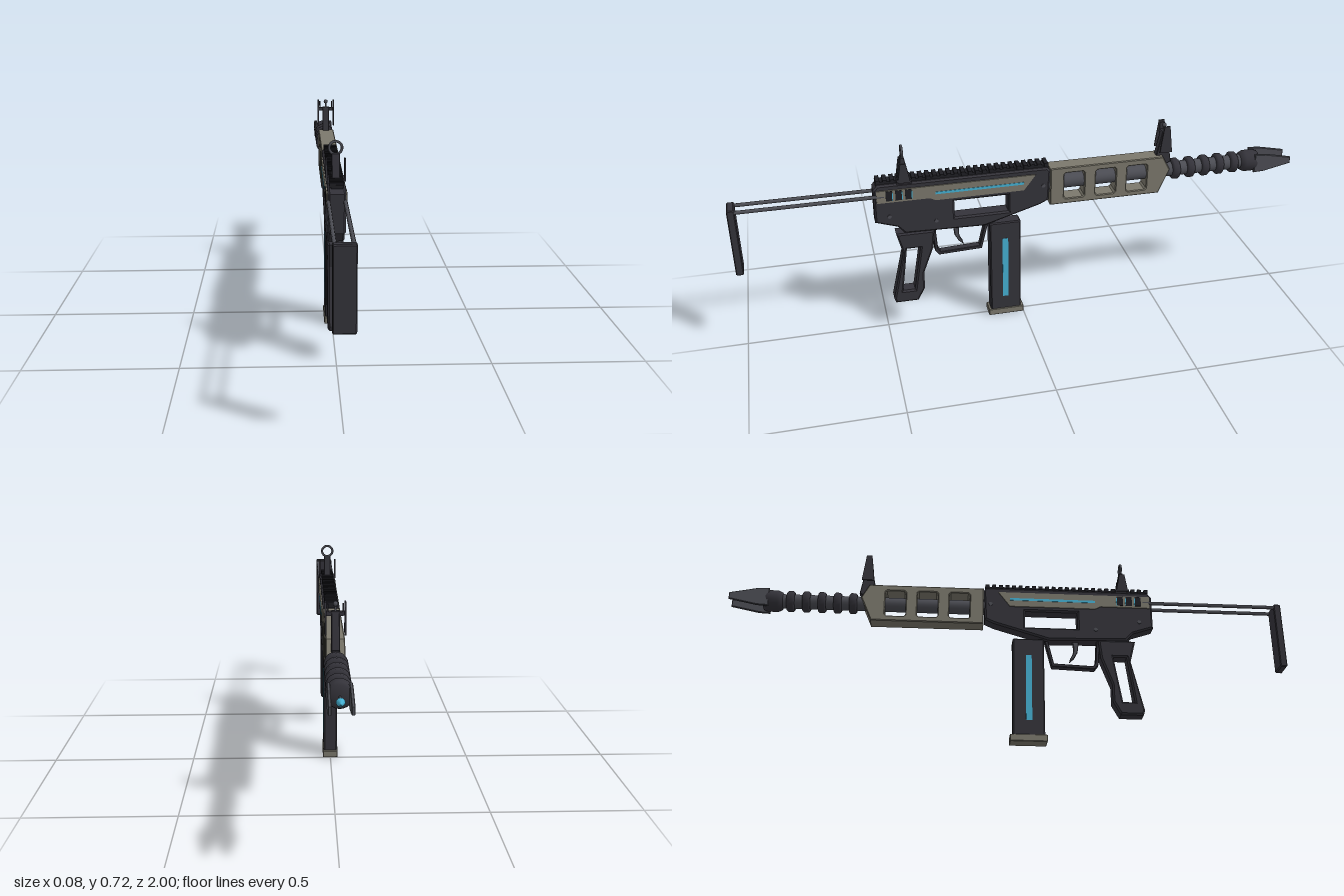
import * as THREE from 'three';

const mat = (name, color) => {
  const m = new THREE.MeshStandardMaterial({ color });
  m.name = name;
  return m;
};

export function createModel() {
  const group = new THREE.Group();
  const dark = mat('dark polymer', 0x34333a);
  const black = mat('black', 0x1e1e23);
  const tan = mat('warm grey', 0x7b786c);
  const steel = mat('gunmetal', 0x4c4d54);
  const teal = mat('teal glow', 0x45b0d2);

  const add = (name, geo, material, x = 0, y = 0, z = 0) => {
    const mesh = new THREE.Mesh(geo, material);
    mesh.name = name;
    mesh.position.set(x, y, z);
    group.add(mesh);
    return mesh;
  };
  const box = (name, m, w, h, d, x, y, z) => add(name, new THREE.BoxGeometry(w, h, d), m, x, y, z);

  // Side profile given as [z, y] points, extruded across x to a full width
  const vecs = (pts) => pts.map(([z, y]) => new THREE.Vector2(z, y));
  const rect = (z0, z1, y0, y1, c = 0) => [
    [z0 + c, y0], [z1 - c, y0], [z1, y0 + c], [z1, y1 - c],
    [z1 - c, y1], [z0 + c, y1], [z0, y1 - c], [z0, y0 + c]];
  const profile = (name, m, pts, width, bevel = 0, holes = [], x = 0) => {
    const shape = new THREE.Shape(vecs(pts));
    shape.holes = holes.map((h) => new THREE.Path(vecs(h)));
    const depth = width - 2 * bevel;
    const geo = new THREE.ExtrudeGeometry(shape, {
      depth, bevelEnabled: bevel > 0, bevelSize: bevel, bevelThickness: bevel,
      bevelOffset: -bevel, bevelSegments: 1, curveSegments: 8,
    });
    geo.translate(0, 0, -depth / 2).rotateY(-Math.PI / 2);
    return add(name, geo, m, x);
  };
  // Round part along z, radii as [z, radius] running from rear to muzzle
  const AXIS = 0.517;
  const turned = (name, m, pts, sides = 20) => {
    const geo = new THREE.LatheGeometry(pts.map(([z, r]) => new THREE.Vector2(r, -z)), sides);
    geo.rotateX(-Math.PI / 2);
    return add(name, geo, m, 0, AXIS, 0);
  };
  const both = (fn) => [-1, 1].forEach(fn);

  // Receiver with open ejection slot
  profile('receiver', dark, [
    [0.52, 0.445], [0.52, 0.57], [0.505, 0.587], [-0.085, 0.587], [-0.095, 0.575],
    [-0.09, 0.46], [-0.06, 0.445], [0.14, 0.385], [0.42, 0.392], [0.445, 0.42],
  ], 0.056, 0.006, [rect(0.055, 0.245, 0.433, 0.497)]);

  // Top rail and its teeth
  box('railBase', black, 0.036, 0.012, 0.6, 0, 0.59, 0.21);
  for (let i = 0; i < 25; i++) {
    box('railTooth', black, 0.044, 0.014, 0.014, 0, 0.596, 0.502 - i * 0.0243);
  }

  // Side panels, vents, light strips and screws
  both((s) => {
    profile('sidePanel', tan, [
      [0.51, 0.522], [0.51, 0.568], [-0.042, 0.568], [0.0, 0.512], [0.31, 0.512], [0.33, 0.522],
    ], 0.006, 0, [], s * 0.029);
    for (let i = 0; i < 3; i++) {
      box('vent', black, 0.004, 0.037, 0.022, s * 0.0315, 0.547, 0.468 - i * 0.033);
      box('ventEdge', teal, 0.004, 0.03, 0.003, s * 0.0316, 0.544, 0.456 - i * 0.033);
    }
    box('lightStrip', teal, 0.004, 0.009, 0.31, s * 0.0315, 0.54, 0.155);
    [[0.47, 0.466], [0.31, 0.43], [-0.07, 0.52]].forEach(([z, y]) => {
      const screw = new THREE.CylinderGeometry(0.007, 0.007, 0.005, 10).rotateZ(Math.PI / 2);
      add('screw', screw, steel, s * 0.028, y, z);
    });
  });

  // Handguard with three windows per side
  profile('handguard', tan, [
    [-0.095, 0.44], [-0.095, 0.582], [-0.507, 0.582], [-0.535, 0.53], [-0.497, 0.44],
  ], 0.06, 0.003, [0, 1, 2].map((i) => {
    const z = -0.182 - i * 0.115;
    return rect(z - 0.037, z + 0.037, 0.46, 0.56, 0.006);
  }));

  // Barrel, cooling rings and muzzle
  turned('barrel', steel, [[-0.09, 0], [-0.09, 0.026], [-0.84, 0.026], [-0.84, 0]]);
  for (let i = 0; i < 5; i++) {
    const z = -0.563 - i * 0.0555;
    turned('coolingRing', dark, [
      [z + 0.014, 0.02], [z + 0.014, 0.032], [z + 0.008, 0.038],
      [z - 0.008, 0.038], [z - 0.014, 0.032], [z - 0.014, 0.02]]);
  }
  turned('muzzleCollar', dark, [
    [-0.81, 0.02], [-0.815, 0.032], [-0.83, 0.039], [-0.865, 0.039], [-0.88, 0.033], [-0.88, 0]]);
  both((s) => profile('muzzleProng', steel, [
    [-0.86, 0.482], [-0.86, 0.552], [-0.9, 0.55], [-1, 0.529], [-1, 0.505], [-0.9, 0.484],
  ], 0.01, 0.002, [], s * 0.031));
  const emitter = new THREE.ConeGeometry(0.013, 0.025, 12).rotateX(-Math.PI / 2);
  add('emitter', emitter, teal, 0, AXIS, -0.938);
  turned('emitterStem', steel, [[-0.87, 0.004], [-0.93, 0.004]], 8);

  // Grip with open middle
  profile('grip', dark, [
    [0.452, 0.39], [0.432, 0.31], [0.474, 0.125], [0.468, 0.107], [0.388, 0.107],
    [0.362, 0.155], [0.362, 0.22], [0.325, 0.32], [0.318, 0.39],
  ], 0.053, 0.006, [[[0.418, 0.326], [0.37, 0.326], [0.398, 0.155], [0.44, 0.155]]]);

  // Trigger guard and trigger
  profile('triggerGuard', dark, [
    [0.325, 0.39], [0.318, 0.3], [0.304, 0.281], [0.15, 0.287], [0.126, 0.385],
    [0.138, 0.385], [0.158, 0.299], [0.298, 0.293], [0.307, 0.306], [0.313, 0.39],
  ], 0.028, 0.002);
  profile('trigger', steel, [
    [0.25, 0.39], [0.245, 0.35], [0.232, 0.325], [0.213, 0.308],
    [0.217, 0.322], [0.228, 0.342], [0.23, 0.365], [0.226, 0.39],
  ], 0.014, 0.002);

  // Magazine with light strips and foot
  profile('magazine', dark, rect(0.01, 0.122, 0.02, 0.388, 0.004), 0.048, 0.004);
  profile('magazineFoot', tan, rect(0.0, 0.13, 0, 0.025, 0.002), 0.054, 0.002);
  both((s) => box('magazineStrip', teal, 0.004, 0.245, 0.021, s * 0.0235, 0.2, 0.067));

  // Wire stock and butt plate
  both((s) => {
    const rod = new THREE.CylinderGeometry(0.0065, 0.0065, 0.5, 10).rotateX(Math.PI / 2);
    add('stockRod', rod, steel, s * 0.026, 0.545, 0.735);
  });
  profile('buttPlate', dark, rect(0.974, 1, 0.306, 0.556, 0.004), 0.066, 0.003);

  // Rear sight: post, side plates and ring
  profile('rearSightPost', dark, [
    [0.437, 0.59], [0.421, 0.675], [0.408, 0.675], [0.39, 0.59]], 0.026, 0.002);
  box('rearSightFoot', dark, 0.054, 0.016, 0.05, 0, 0.592, 0.414);
  both((s) => profile('rearSightPlate', dark, [
    [0.435, 0.59], [0.424, 0.66], [0.405, 0.66], [0.392, 0.59]], 0.005, 0, [], s * 0.029));
  add('rearSightRing', new THREE.TorusGeometry(0.02, 0.0042, 8, 28), steel, 0, 0.693, 0.414);

  // Front sight: tapered post, ears and bead
  profile('frontSightPost', dark, [
    [-0.485, 0.575], [-0.505, 0.672], [-0.522, 0.672], [-0.543, 0.555], [-0.52, 0.54]], 0.026, 0.002);
  box('frontSightBridge', dark, 0.058, 0.012, 0.018, 0, 0.664, -0.514);
  both((s) => {
    profile('frontSightEar', dark, [
      [-0.492, 0.6], [-0.504, 0.7], [-0.524, 0.7], [-0.537, 0.6]], 0.005, 0, [], s * 0.03);
    box('frontSightInnerEar', dark, 0.004, 0.033, 0.016, s * 0.0235, 0.677, -0.514);
  });
  box('frontSightPin', steel, 0.005, 0.025, 0.006, 0, 0.68, -0.514);
  add('frontSightBead', new THREE.SphereGeometry(0.008, 12, 8), steel, 0, 0.693, -0.514);

  return group;
}
